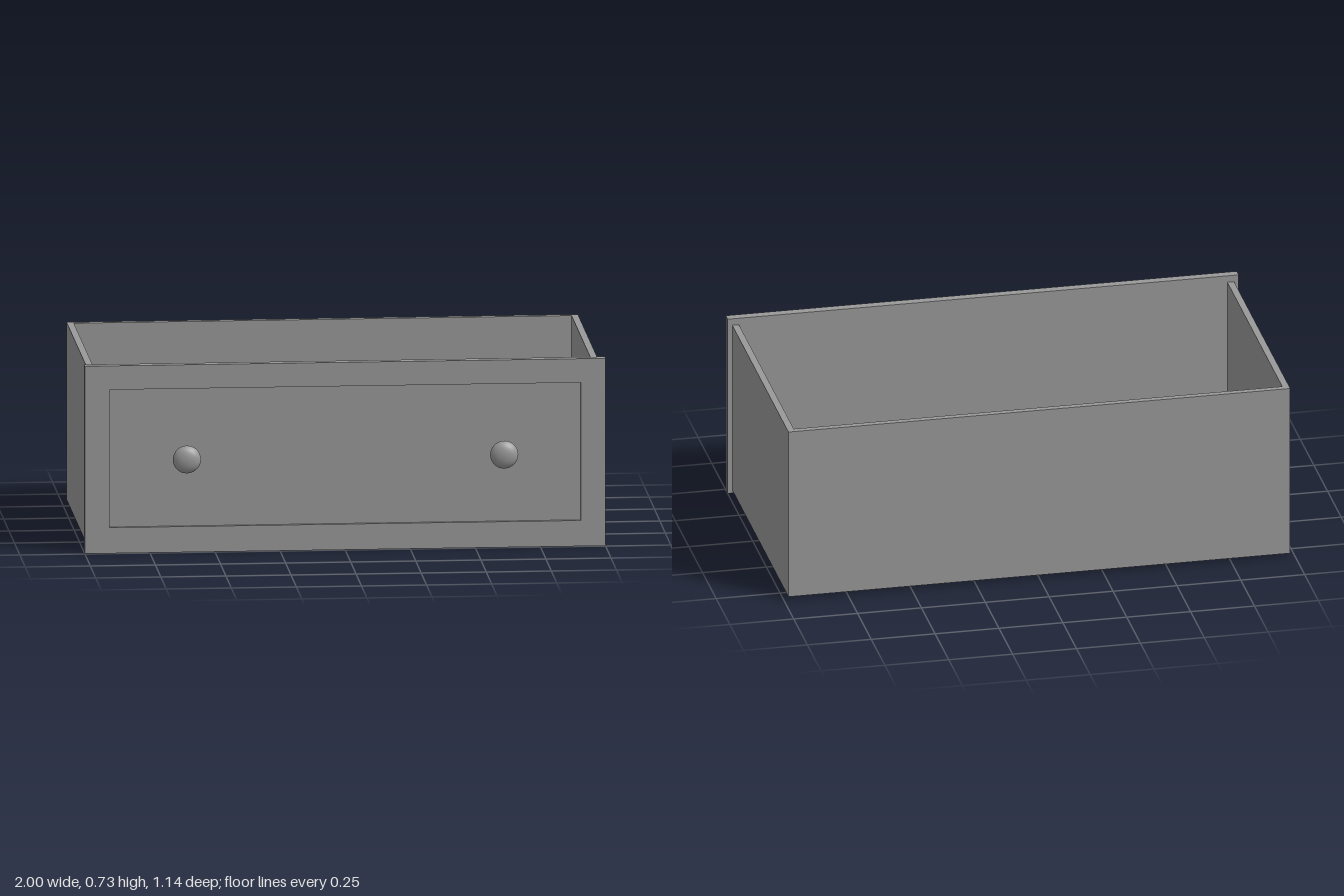
import * as THREE from 'three';

const greyPaint = new THREE.MeshStandardMaterial({ color: 0x999999 });
greyPaint.name = 'greyPaint';

function add(group, name, geometry, x = 0, y = 0, z = 0) {
  const mesh = new THREE.Mesh(geometry, greyPaint);
  mesh.name = name;
  mesh.position.set(x, y, z);
  group.add(mesh);
  return mesh;
}

function rectangle(Type, x0, y0, x1, y1) {
  return new Type([[x0, y0], [x1, y0], [x1, y1], [x0, y1]].map(([x, y]) => new THREE.Vector2(x, y)));
}

export function createModel() {
  const drawer = new THREE.Group();
  drawer.name = 'drawer';

  // Front: raised frame around a recessed panel
  const frame = rectangle(THREE.Shape, -1, 0, 1, 0.73);
  frame.holes.push(rectangle(THREE.Path, -0.905, 0.1, 0.905, 0.637));
  add(drawer, 'frontFrame', new THREE.ExtrudeGeometry(frame, { depth: 0.035, bevelEnabled: false }), 0, 0, 0.459);
  add(drawer, 'frontPanel', new THREE.BoxGeometry(1.81, 0.537, 0.021), 0, 0.3685, 0.4695);

  // Tray: one U-shaped wall (two sides and back), open at the top
  const xo = 0.982, xi = 0.956, back = 0.57, inner = 0.545, front = -0.459;
  const walls = new THREE.Shape([
    [-xo, front], [-xi, front], [-xi, inner], [xi, inner],
    [xi, front], [xo, front], [xo, back], [-xo, back],
  ].map(([x, y]) => new THREE.Vector2(x, y)));
  const wallGeometry = new THREE.ExtrudeGeometry(walls, { depth: 0.69, bevelEnabled: false });
  wallGeometry.rotateX(-Math.PI / 2);
  add(drawer, 'trayWalls', wallGeometry, 0, 0.013, 0);
  add(drawer, 'trayFloor', new THREE.BoxGeometry(xi * 2, 0.025, 1.004), 0, 0.0255, -0.043);

  // Knobs: turned stem and rounded cap, radius against distance from the panel
  const profile = [
    [0.019, 0], [0.018, 0.016], [0.014, 0.03], [0.016, 0.037], [0.03, 0.041],
    [0.045, 0.049], [0.053, 0.057], [0.054, 0.064], [0.05, 0.073],
    [0.041, 0.082], [0.027, 0.088], [0.012, 0.0905], [0, 0.091],
  ].map(([r, h]) => new THREE.Vector2(r, h));
  const knobGeometry = new THREE.LatheGeometry(profile, 28);
  knobGeometry.rotateX(Math.PI / 2);
  add(drawer, 'leftKnob', knobGeometry, 0.607, 0.37, 0.479);
  add(drawer, 'rightKnob', knobGeometry, -0.612, 0.37, 0.479);

  return drawer;
}
